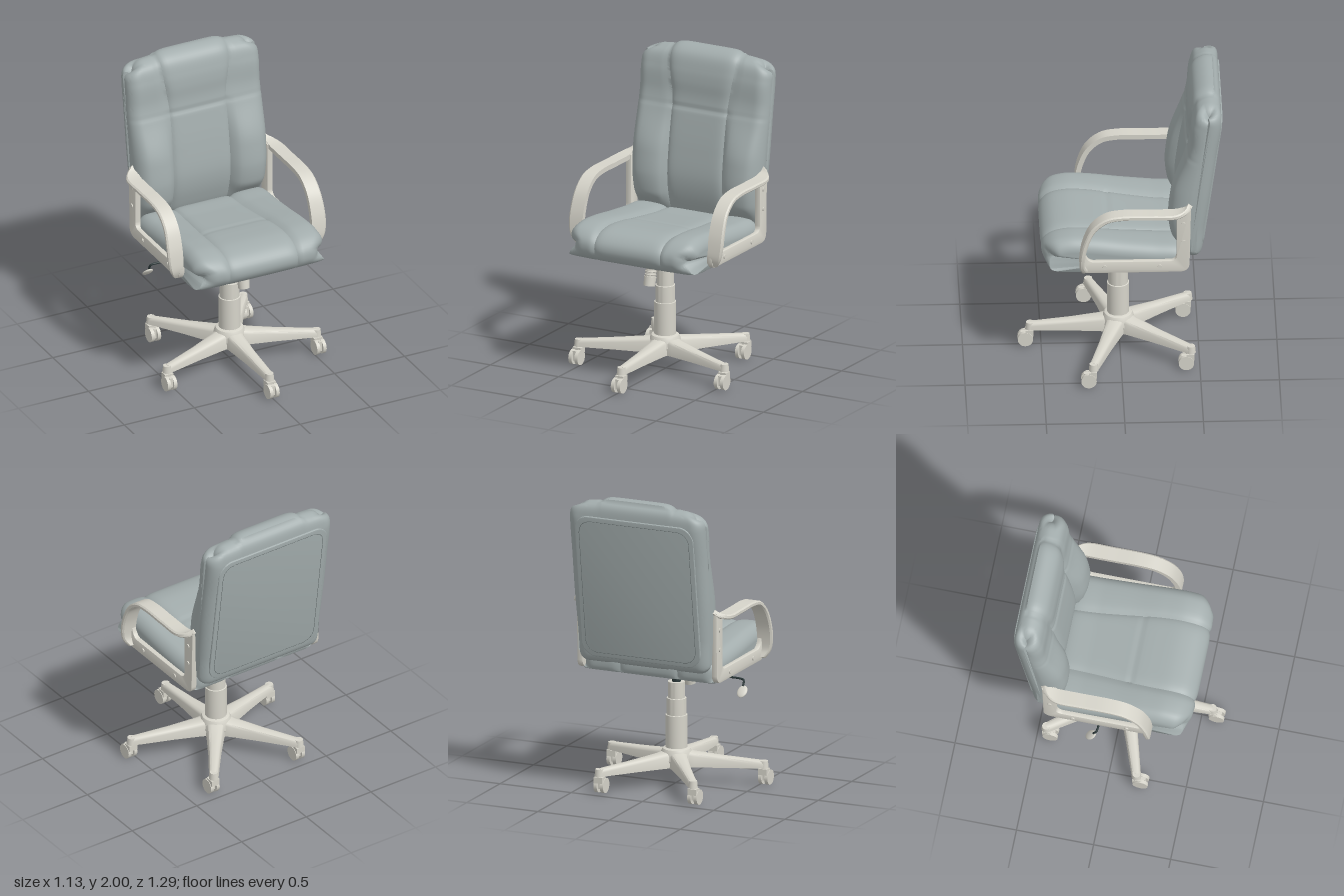
import * as THREE from 'three';
import { toCreasedNormals, mergeVertices } from 'three/addons/utils/BufferGeometryUtils.js';

const mat = (color) => new THREE.MeshStandardMaterial({ color });
const leather = mat(0xa3adad), plastic = mat(0xd6d4ca), metal = mat(0x2b3839), seamMat = mat(0x6b7474);
const { smoothstep, lerp, clamp } = THREE.MathUtils;

function add(parent, name, geo, material, x = 0, y = 0, z = 0) {
  const m = new THREE.Mesh(geo, material);
  m.name = name;
  m.position.set(x, y, z);
  parent.add(m);
  return m;
}

// Skins a list of closed rings of [x, y, z] points and caps both ends
function skin(rings, crease = 0.6) {
  const n = rings[0].length, pos = rings.flat(2), idx = [];
  const v = (r, i) => r * n + (i % n);
  for (let r = 0; r < rings.length - 1; r++)
    for (let i = 0; i < n; i++)
      idx.push(v(r, i), v(r, i + 1), v(r + 1, i), v(r, i + 1), v(r + 1, i + 1), v(r + 1, i));
  [0, rings.length - 1].forEach((r, end) => {
    const c = pos.length / 3;
    for (let k = 0; k < 3; k++) pos.push(rings[r].reduce((s, p) => s + p[k], 0) / n);
    for (let i = 0; i < n; i++) idx.push(c, ...(end ? [v(r, i), v(r, i + 1)] : [v(r, i + 1), v(r, i)]));
  });
  // A negative volume means the faces point inward
  const P = (i) => new THREE.Vector3().fromArray(pos, i * 3);
  let volume = 0;
  for (let i = 0; i < idx.length; i += 3) volume += P(idx[i]).dot(P(idx[i + 1]).cross(P(idx[i + 2])));
  if (volume < 0) idx.reverse();
  const g = new THREE.BufferGeometry();
  g.setAttribute('position', new THREE.Float32BufferAttribute(pos, 3));
  g.setIndex(idx);
  return toCreasedNormals(g, crease);
}

function mirrorX(geo) {
  const g = mergeVertices(geo);
  g.scale(-1, 1, 1);
  g.index.array.reverse();
  return g;
}

// Three-panel cushion: a side profile of [z, y] points carried across x.
// |q| < 1 is the centre panel, 1..2 the side panels; widthX() gives the half
// width, seamX() the seam position, and inset() pulls the skin inward.
function cushion(profile, count, widthX, seamX, inset) {
  const curve = new THREE.CatmullRomCurve3(profile.map(([z, y]) => new THREE.Vector3(z, y, 0)), true);
  const pts = curve.getSpacedPoints(count).slice(0, count);
  const half = [];
  for (let i = 1; i <= 10; i++) half.push(Math.sin((i / 10) * Math.PI / 2));
  for (let i = 1; i <= 18; i++) half.push(2 - (1 - i / 18) ** 2);
  const qs = [...half.map((q) => -q).reverse(), 0, ...half];
  return skin(qs.map((q) => pts.map((p, i) => {
    const t = pts[(i + 1) % count].clone().sub(pts[(i + count - 1) % count]).normalize();
    const nz = t.y, ny = -t.x, s = seamX(p.x, p.y), W = widthX(p.x, p.y);
    const a = Math.abs(q), v = Math.max(0, a - 1);
    const x = a <= 1 ? a * s : lerp(s, W, v);
    const e = inset({ z: p.x, y: p.y, nz, ny, a, v, edge: roundEdge(x, W, 0.075) });
    return [Math.sign(q) * x, p.y - ny * e, p.x - nz * e];
  })), 0.7);
}
const roundEdge = (x, W, r) => r * (1 - Math.sqrt(Math.max(0, 1 - clamp((x - W + r) / r, 0, 1) ** 2)));
const seamDip = (a, v) => (a <= 1 ? 0.014 * a ** 10 : 0.014 * Math.max(0, 1 - v / 0.2) ** 2);
// Half width that narrows along a quarter circle past the given start
const corner = (W, r, t, start) => W - r * (1 - Math.sqrt(1 - clamp((t - start) / r, 0, 0.9) ** 2));

function roundedRect(w, h, r) {
  const s = new THREE.Shape();
  s.absarc(w - r, h - r, r, 0, Math.PI / 2);
  s.absarc(-w + r, h - r, r, Math.PI / 2, Math.PI);
  s.absarc(-w + r, -h + r, r, Math.PI, Math.PI * 1.5);
  s.absarc(w - r, -h + r, r, Math.PI * 1.5, Math.PI * 2);
  return s.closePath();
}

function buildUpholstery(root) {
  const seat = [[-0.41, 0.81], [-0.415, 0.9], [-0.38, 0.942], [-0.2, 0.962], [0, 0.983], [0.2, 1.008], [0.35, 1.012],
    [0.45, 0.985], [0.505, 0.93], [0.51, 0.87], [0.47, 0.815], [0.41, 0.8], [0, 0.8], [-0.39, 0.8]].reverse();
  add(root, 'seatCushion', cushion(seat, 120, (z) => corner(0.462, 0.1, z, 0.41), (z) => lerp(0.2, 0.24, smoothstep(z, -0.35, 0.3)),
    ({ z, ny, nz, a, v, edge }) => {
      const puff = a > 1 ? 0.012 * Math.max(0, nz) * v - 0.01 * Math.max(0, ny) * Math.sin(Math.PI * v) : 0;
      const cross = a < 1 && ny > 0.5 ? 0.006 * Math.exp(-(((z - 0.08) / 0.015) ** 2)) : 0;
      return lerp(0.1, 1, smoothstep(ny, -0.98, -0.2)) * (edge + seamDip(a, v)) + puff + cross;
    }), leather);

  const back = [[-0.42, 0.89], [-0.375, 1], [-0.352, 1.15], [-0.37, 1.35], [-0.41, 1.58], [-0.436, 1.7], [-0.452, 1.85],
    [-0.488, 1.95], [-0.56, 1.985], [-0.62, 1.955], [-0.636, 1.87], [-0.6, 1.6], [-0.565, 1.35], [-0.53, 1.1], [-0.5, 0.9], [-0.46, 0.88]];
  add(root, 'backrestCushion', cushion(back, 180, (z, y) => corner(lerp(0.46, 0.472, smoothstep(y, 0.9, 1.4)), 0.11, y, 1.87),
    (z, y) => lerp(0.2, 0.24, smoothstep(y, 1.6, 1.95)),
    ({ y, ny, nz, a, v, edge }) => {
      const front = Math.max(0, nz), top = Math.max(0, ny), head = smoothstep(y, 1.61, 1.78);
      let e = edge + seamDip(a, v) * (nz < -0.5 ? 0 : 1 + 0.5 * head);
      e += (a > 1 ? 0.003 : 0.008) * front * Math.exp(-(((y - 1.61) / 0.014) ** 2));
      if (a > 1) {
        const band = smoothstep(y, 0.9, 1.05) * (1 - smoothstep(y, 1.3, 1.65));
        e += 0.018 * top * (0.5 + v) - 0.055 * front * band * Math.sqrt(Math.max(0, Math.sin(Math.PI * v)));
      } else if (nz > -0.5) e -= 0.015 * head;
      return e;
    }), leather);

  // Sewn panel on the rear of the backrest
  const panel = new THREE.Group();
  panel.name = 'rearPanel';
  panel.position.set(0, 1.4, -0.568);
  panel.rotation.x = -0.137;
  root.add(panel);
  const g = new THREE.ExtrudeGeometry(roundedRect(0.41, 0.475, 0.09),
    { depth: 0.02, bevelSize: 0.008, bevelThickness: 0.008, bevelSegments: 3, curveSegments: 8 });
  add(panel, 'panel', toCreasedNormals(g, 0.5), leather, 0, 0, -0.003);
  const line = roundedRect(0.385, 0.45, 0.08).getSpacedPoints(80).map((p) => new THREE.Vector3(p.x, p.y, -0.0105));
  add(panel, 'stitching', new THREE.TubeGeometry(new THREE.CatmullRomCurve3(line.slice(0, -1), true), 120, 0.002, 5, true), seamMat);
}

function buildArms(root) {
  // Broad curved strip: [z, y, outer x] along its length
  const path = new THREE.CatmullRomCurve3([[-0.435, 1.29, 0.475], [-0.41, 1.262, 0.515], [-0.35, 1.243, 0.55], [-0.18, 1.24, 0.555],
    [0, 1.24, 0.555], [0.1, 1.22, 0.555], [0.185, 1.15, 0.557], [0.235, 1.04, 0.562], [0.254, 0.94, 0.56], [0.255, 0.87, 0.545],
    [0.235, 0.825, 0.515]].map(([z, y, x]) => new THREE.Vector3(x, y, z)));
  const section = [[0, -1], [0.9, -1], [1, -0.5], [1, 0.5], [0.9, 1], [0, 1]];
  const N = 48;
  const strip = skin(Array.from({ length: N + 1 }, (_, i) => {
    const p = path.getPointAt(i / N), t = path.getTangentAt(i / N).setX(0).normalize();
    return section.map(([u, w]) => [lerp(0.46, p.x, u), p.y + t.z * w * 0.016, p.z - t.y * w * 0.016]);
  }));
  // L-shaped side plate drawn in (z, y)
  const s = new THREE.Shape();
  s.moveTo(0.23, 0.812);
  s.lineTo(-0.37, 0.812);
  s.quadraticCurveTo(-0.425, 0.815, -0.425, 0.87);
  s.lineTo(-0.435, 1.275);
  s.lineTo(-0.35, 1.25);
  s.lineTo(-0.35, 0.93);
  s.quadraticCurveTo(-0.35, 0.885, -0.3, 0.885);
  s.lineTo(0.18, 0.885);
  s.quadraticCurveTo(0.225, 0.885, 0.24, 0.95);
  s.lineTo(0.268, 0.9);
  s.quadraticCurveTo(0.272, 0.815, 0.23, 0.812);
  const plate = new THREE.ExtrudeGeometry(s, { depth: 0.03, bevelSize: 0.004, bevelThickness: 0.004, bevelSegments: 2 });
  plate.rotateY(-Math.PI / 2).translate(0.487, 0, 0);
  const creased = toCreasedNormals(plate, 0.5);
  for (const side of [1, -1]) {
    const arm = new THREE.Group();
    arm.name = side > 0 ? 'leftArmrest' : 'rightArmrest';
    root.add(arm);
    add(arm, 'armStrip', side > 0 ? strip : mirrorX(strip), plastic);
    add(arm, 'armPlate', side > 0 ? creased : mirrorX(creased), plastic);
    for (const [z, y] of [[0.11, 0.85], [-0.24, 0.85], [-0.39, 1.03], [-0.39, 1.16]])
      add(arm, 'armScrew', new THREE.CylinderGeometry(0.014, 0.014, 0.012, 16), plastic, side * 0.492, y, z).rotation.z = Math.PI / 2;
  }
}

function buildMechanism(root) {
  const rect = (x, y, z0, z1) => [[-x, y, z0], [x, y, z0], [x, y, z1], [-x, y, z1]];
  add(root, 'tiltHousing', skin([rect(0.075, 0.725, -0.08, 0.1), rect(0.09, 0.77, -0.13, 0.2), rect(0.1, 0.802, -0.17, 0.24)]), metal);
  for (const x of [-0.165, 0.165]) for (const z of [-0.2, 0.28]) {
    const dx = x * 0.6, dz = z * 0.6;
    add(root, 'mountArm', new THREE.BoxGeometry(0.055, 0.02, Math.hypot(dx, dz) + 0.02), metal, x * 0.7, 0.79, z * 0.7).rotation.y = Math.atan2(dx, dz);
    add(root, 'mountFoot', new THREE.CylinderGeometry(0.032, 0.026, 0.022, 20), metal, x, 0.79, z);
    add(root, 'mountBolt', new THREE.CylinderGeometry(0.012, 0.012, 0.012, 12), metal, x, 0.776, z);
  }
  // Tension knob under the front
  const knob = new THREE.Group();
  knob.name = 'tensionKnob';
  knob.position.set(0, 0.67, 0.2);
  knob.rotation.x = -0.22;
  root.add(knob);
  add(knob, 'knobGrip', new THREE.CylinderGeometry(0.04, 0.037, 0.06, 20), plastic, 0, -0.035);
  add(knob, 'knobNeck', new THREE.CylinderGeometry(0.034, 0.034, 0.06, 20), plastic, 0, 0.024);
  for (let i = 0; i < 3; i++)
    add(knob, 'knobRidge', new THREE.TorusGeometry(0.034, 0.004, 8, 24), plastic, 0, 0.008 + i * 0.02).rotation.x = Math.PI / 2;
  add(knob, 'knobShaft', new THREE.CylinderGeometry(0.016, 0.016, 0.08, 12), metal, 0, 0.08);
  // Height lever on the right
  const lever = new THREE.CatmullRomCurve3([[-0.05, 0.762, -0.06], [-0.3, 0.762, -0.07], [-0.49, 0.762, -0.075],
    [-0.515, 0.757, -0.08], [-0.518, 0.72, -0.1]].map((p) => new THREE.Vector3(...p)));
  add(root, 'heightLever', new THREE.TubeGeometry(lever, 32, 0.007, 8), metal);
  const paddle = add(root, 'leverPaddle', new THREE.SphereGeometry(1, 20, 12), plastic, -0.52, 0.69, -0.115);
  paddle.scale.set(0.034, 0.045, 0.012);
  paddle.rotation.x = 0.8;
}

function buildBase(root) {
  const base = new THREE.Group();
  base.name = 'base';
  base.position.z = 0.01;
  root.add(base);
  const lathe = (name, pts, m) => add(base, name,
    toCreasedNormals(new THREE.LatheGeometry(pts.map((p) => new THREE.Vector2(...p)), 40), 0.5), m);
  lathe('hub', [[0, 0.115], [0.085, 0.115], [0.105, 0.16], [0.1, 0.205], [0.088, 0.23], [0.07, 0.237], [0, 0.237]], plastic);
  lathe('column', [[0.07, 0.23], [0.07, 0.45], [0.063, 0.452], [0.063, 0.56], [0.055, 0.562], [0.055, 0.668], [0, 0.668]], plastic);
  lathe('piston', [[0.03, 0.66], [0.03, 0.69], [0.042, 0.7], [0.042, 0.74], [0, 0.74]], metal);

  // Hollow tapered leg, channelled underneath
  const leg = skin([[0.04, 0.065, 0.225], [0.12, 0.055, 0.207], [0.3, 0.041, 0.187], [0.56, 0.03, 0.163]].map(([r, w, top]) =>
    [[-w, 0.116], [-w * 0.94, top - 0.022], [-w * 0.78, top - 0.007], [-w * 0.4, top], [w * 0.4, top], [w * 0.78, top - 0.007],
      [w * 0.94, top - 0.022], [w, 0.116], [w - 0.01, 0.116], [w * 0.6, top - 0.025], [-w * 0.6, top - 0.025], [0.01 - w, 0.116]]
      .map(([x, y]) => [x, y, r])), 0.8);
  for (let i = 0; i < 5; i++) {
    const a = (i * Math.PI * 2) / 5, x = 0.56 * Math.sin(a), z = 0.56 * Math.cos(a);
    add(base, 'leg', leg, plastic).rotation.y = a;
    add(base, 'legEnd', new THREE.CylinderGeometry(0.026, 0.031, 0.047, 20), plastic, x, 0.1385, z);
    // Twin-wheel caster trailing toward the front
    const caster = new THREE.Group();
    caster.name = 'caster';
    caster.position.set(x, 0, z + 0.03);
    base.add(caster);
    add(caster, 'casterStem', new THREE.CylinderGeometry(0.014, 0.014, 0.06, 12), plastic, 0, 0.1, -0.03);
    add(caster, 'casterHood', new THREE.BoxGeometry(0.06, 0.04, 0.052), plastic, 0, 0.09, -0.026);
    add(caster, 'casterBody', new THREE.BoxGeometry(0.024, 0.065, 0.06), plastic, 0, 0.062, 0);
    for (const s of [-1, 1])
      add(caster, 'wheel', new THREE.CylinderGeometry(0.049, 0.049, 0.023, 28), plastic, s * 0.022, 0.049, 0).rotation.z = Math.PI / 2;
  }
}

export function createModel() {
  const root = new THREE.Group();
  root.name = 'officeChair';
  buildUpholstery(root);
  buildArms(root);
  buildMechanism(root);
  buildBase(root);
  return root;
}
